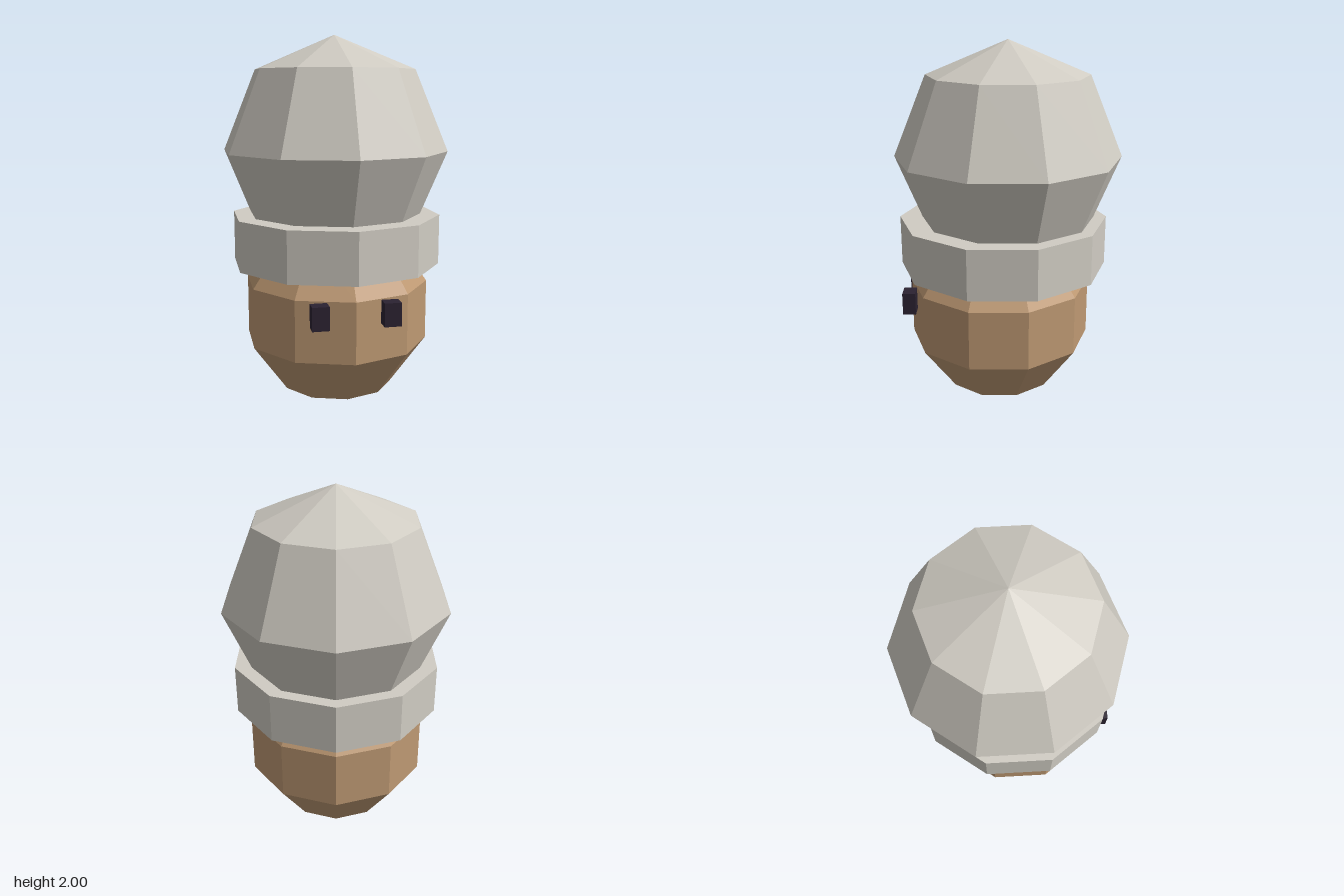
import * as THREE from 'three';

const SIDES = 10;

export function createModel() {
  const group = new THREE.Group();

  const makeMaterial = (name, color) => {
    const m = new THREE.MeshStandardMaterial({ color, flatShading: true });
    m.name = name;
    return m;
  };
  const wool = makeMaterial('hat grey', 0xd0ccc3);
  const skin = makeMaterial('skin', 0xbe9973);
  const dark = makeMaterial('eye dark', 0x2b2231);

  const add = (name, geometry, material, x, y, z) => {
    const mesh = new THREE.Mesh(geometry, material);
    mesh.name = name;
    mesh.position.set(x, y, z);
    group.add(mesh);
    return mesh;
  };

  // Low-poly ball with one corner of each ring pointing forward
  const ball = (radius, rows) =>
    new THREE.SphereGeometry(radius, SIDES, rows).rotateY(Math.PI / 2);

  // Head, set slightly forward
  add('head', ball(0.523, 5), skin, 0, 0.525, 0.047);

  // Hat brim band and puffy crown
  add('hatBand', new THREE.CylinderGeometry(0.567, 0.567, 0.27, SIDES), wool, 0, 0.915, 0.027);
  add('hatCrown', ball(0.612, 4), wool, 0, 1.39, 0);

  // Eyes, mirrored
  for (const [name, side] of [['leftEye', 1], ['rightEye', -1]]) {
    add(name, new THREE.BoxGeometry(0.087, 0.122, 0.07), dark, side * 0.182, 0.62, 0.535);
  }

  return group;
}
